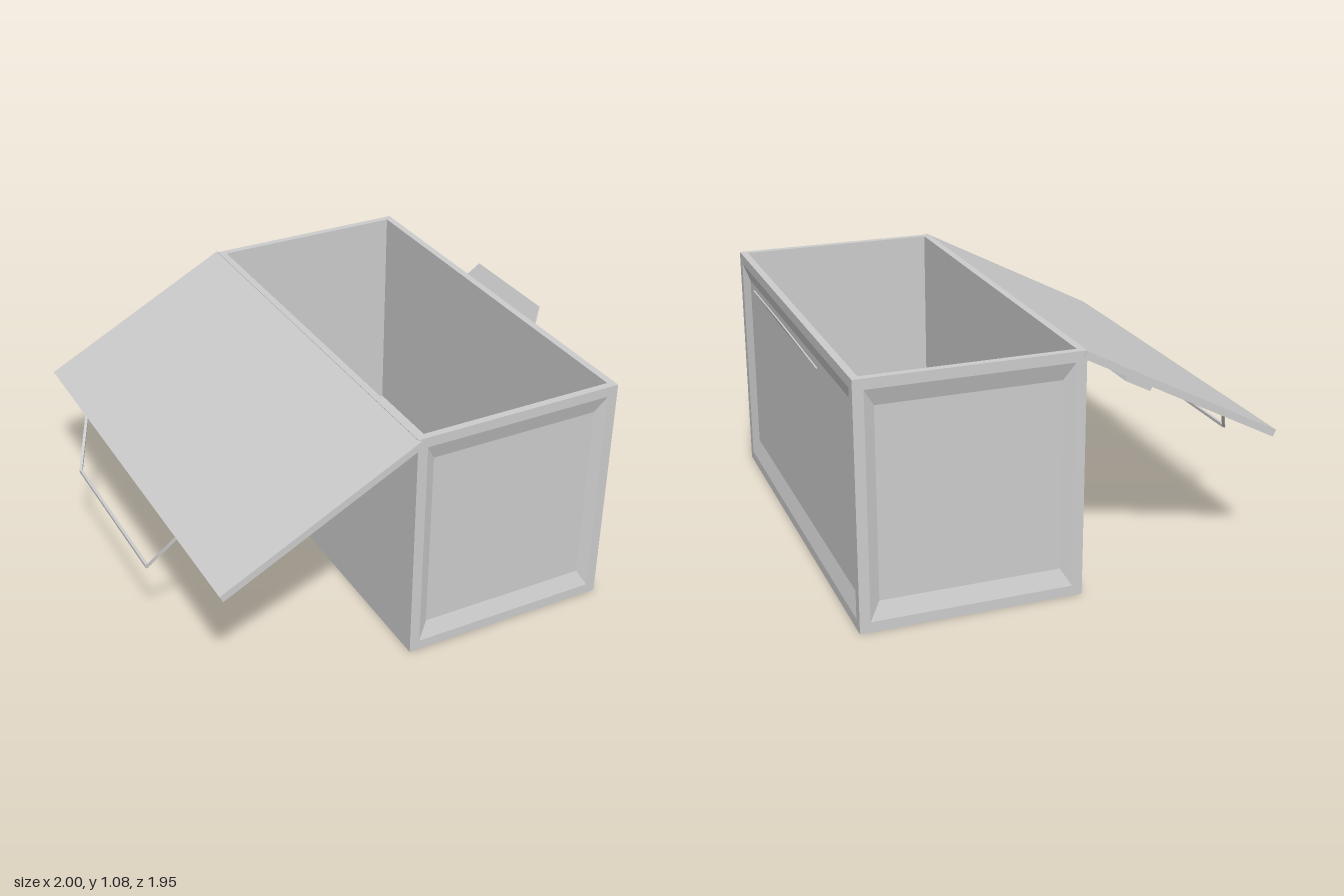
import * as THREE from 'three';

const grey = new THREE.MeshStandardMaterial({ color: 0xcccccc, flatShading: true });
const greySheet = new THREE.MeshStandardMaterial({ color: 0xcccccc, flatShading: true, side: THREE.DoubleSide });

function add(parent, name, geometry, material = grey) {
  const mesh = new THREE.Mesh(geometry, material);
  mesh.name = name;
  parent.add(mesh);
  return mesh;
}

// Rectangle facing +z: flat frame, bevel, then a sunken centre
function sunkenPanel(w, h, frame, bevelX, bevelY, depth) {
  const loop = (x, y, z) => [[-x, -y, z], [x, -y, z], [x, y, z], [-x, y, z]];
  const loops = [
    loop(w / 2, h / 2, 0),
    loop(w / 2 - frame, h / 2 - frame, 0),
    loop(w / 2 - frame - bevelX, h / 2 - frame - bevelY, -depth),
  ];
  const pos = [];
  const quad = (a, b, c, d) => pos.push(...a, ...b, ...c, ...a, ...c, ...d);
  for (let k = 0; k < 2; k++) {
    for (let i = 0; i < 4; i++) {
      const j = (i + 1) % 4;
      quad(loops[k][i], loops[k][j], loops[k + 1][j], loops[k + 1][i]);
    }
  }
  quad(...loops[2]);
  const g = new THREE.BufferGeometry();
  g.setAttribute('position', new THREE.Float32BufferAttribute(pos, 3));
  g.computeVertexNormals();
  return g;
}

// Square bar between two points
function bar(parent, name, a, b, t) {
  const m = add(parent, name, new THREE.BoxGeometry(t, t, a.distanceTo(b) + t * 0.6));
  m.position.copy(a).lerp(b, 0.5);
  m.lookAt(b);
}

export function createModel() {
  const model = new THREE.Group();
  model.name = 'openChest';
  const x0 = -0.045, x1 = 0.905, W = x1 - x0, H = 1.06, D = 1.92, cx = (x0 + x1) / 2;

  // Chest body: panelled front and ends, plain back and base
  const body = new THREE.Group();
  body.name = 'body';
  model.add(body);
  const front = add(body, 'frontWall', sunkenPanel(D, H, 0.045, 0.045, 0.075, 0.025));
  front.rotation.y = Math.PI / 2;
  front.position.set(x1, H / 2, 0);
  for (const s of [1, -1]) {
    const end = add(body, s > 0 ? 'leftEndWall' : 'rightEndWall', sunkenPanel(W, H, 0.045, 0.045, 0.075, 0.025));
    end.rotation.y = s > 0 ? 0 : Math.PI;
    end.position.set(cx, H / 2, s * D / 2);
  }
  const back = add(body, 'backWall', new THREE.PlaneGeometry(D, H));
  back.rotation.y = -Math.PI / 2;
  back.position.set(x0, H / 2, 0);
  const base = add(body, 'base', new THREE.PlaneGeometry(W, D));
  base.rotation.x = Math.PI / 2;
  base.position.set(cx, 0, 0);

  // Rim and hollow interior
  const inside = add(body, 'rimAndInterior', sunkenPanel(W, D, 0.032, 0, 0, H - 0.03));
  inside.rotation.x = -Math.PI / 2;
  inside.position.set(cx, H, 0);

  // Sloping trapezoid tab on the front wall
  const tab = new THREE.Shape([[-0.35, 0], [0.35, 0], [0.25, 0.21], [-0.25, 0.21]].map(p => new THREE.Vector2(...p)));
  const tabGeo = new THREE.ExtrudeGeometry(tab, { depth: 0.006, bevelEnabled: false });
  tabGeo.translate(0, 0, -0.003).rotateY(Math.PI / 2).rotateZ(-Math.atan2(0.115, 0.175));
  add(body, 'frontTab', tabGeo).position.set(0.88, 0.9, 0);

  // Lid, swung open about the back top edge
  const L = 0.98, LD = 1.95, T = 0.032;
  const lid = new THREE.Group();
  lid.name = 'lid';
  lid.position.set(-0.04, H, 0);
  lid.rotation.z = Math.atan2(0.45, 0.87);
  model.add(lid);
  const top = add(lid, 'lidTop', new THREE.PlaneGeometry(L, LD));
  top.rotation.x = -Math.PI / 2;
  top.position.x = -L / 2;
  const under = add(lid, 'lidUnderside', sunkenPanel(L, LD, 0.045, 0.045, 0.045, 0.022));
  under.rotation.x = Math.PI / 2;
  under.position.set(-L / 2, -T, 0);
  for (const s of [1, -1]) {
    const side = add(lid, 'lidSideEdge', new THREE.PlaneGeometry(L, T), greySheet);
    side.position.set(-L / 2, -T / 2, s * LD / 2);
    const edge = add(lid, 'lidLongEdge', new THREE.PlaneGeometry(LD, T), greySheet);
    edge.rotation.y = Math.PI / 2;
    edge.position.set(s > 0 ? 0 : -L, -T / 2, 0);
  }

  // Long open frame hanging under the lid
  const rect = (C, x, y) => new C([[-x, -y], [x, -y], [x, y], [-x, y]].map(p => new THREE.Vector2(...p)));
  const ring = rect(THREE.Shape, 0.068, 0.62);
  ring.holes.push(rect(THREE.Path, 0.053, 0.605));
  const ringGeo = new THREE.ExtrudeGeometry(ring, { depth: 0.085, bevelEnabled: false });
  ringGeo.rotateX(Math.PI / 2);
  add(lid, 'underLidFrame', ringGeo).position.set(-0.5, -0.012, 0);

  // Bar handle at the lid's free edge
  const handle = new THREE.Group();
  handle.name = 'lidHandle';
  model.add(handle);
  const root = s => new THREE.Vector3(-0.9, 0.608, s * 0.535);
  const tip = s => new THREE.Vector3(-0.993, 0.405, s * 0.405);
  for (const s of [1, -1]) bar(handle, 'handleArm', root(s), tip(s), 0.013);
  bar(handle, 'handleGrip', tip(-1), tip(1), 0.013);

  return model;
}
